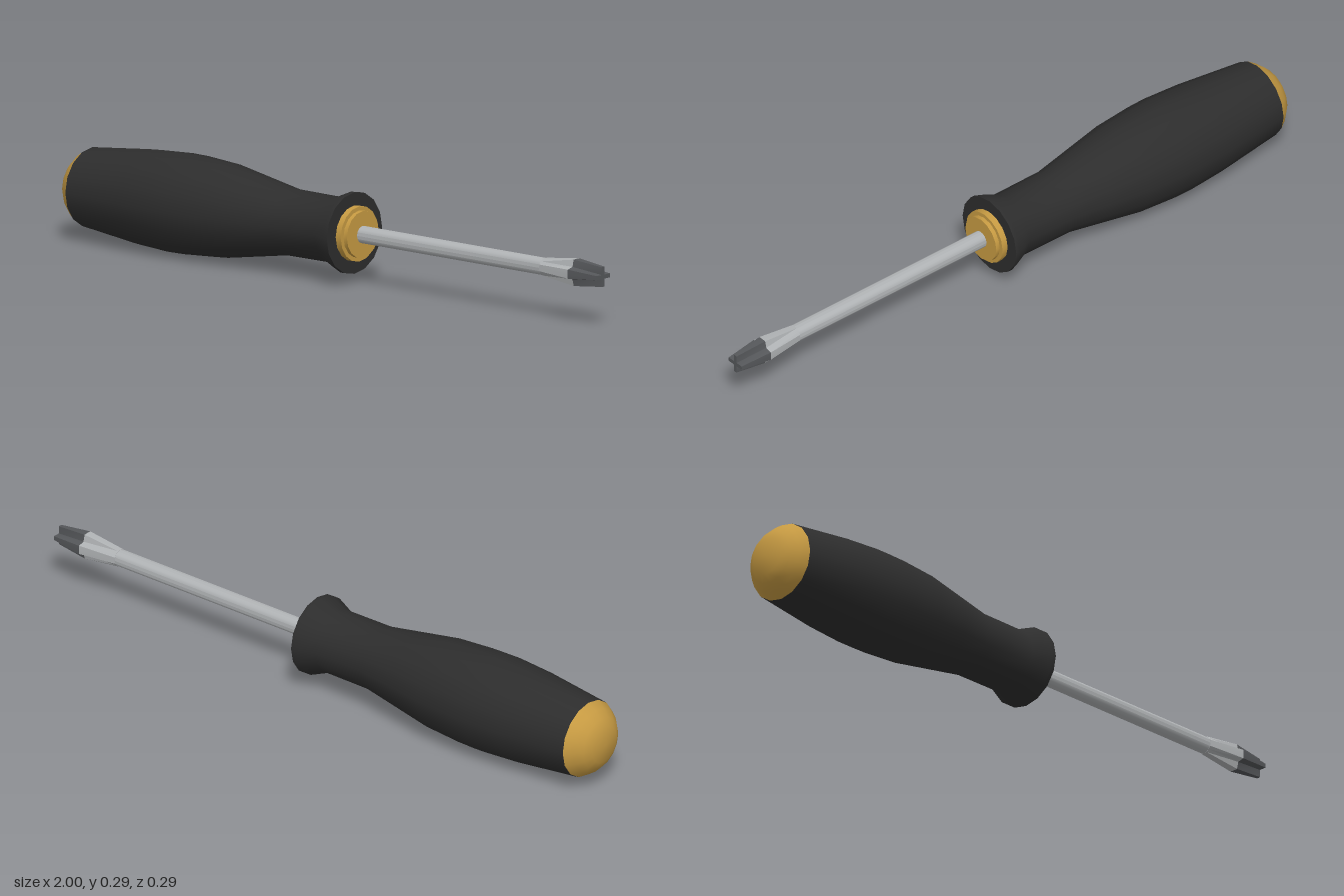
import * as THREE from 'three';
import { toCreasedNormals } from 'three/addons/utils/BufferGeometryUtils.js';

const AXIS_Y = 0.145;

function material(name, color) {
  const m = new THREE.MeshStandardMaterial({ color });
  m.name = name;
  return m;
}

// Turned part along x; profile points are [x, radius] from the butt to the tip
function turned(name, profile, mat, sides = 16) {
  const points = profile.map(([x, r]) => new THREE.Vector2(r, x));
  const geo = new THREE.LatheGeometry(points, sides).rotateZ(-Math.PI / 2);
  const mesh = new THREE.Mesh(toCreasedNormals(geo, 0.6), mat);
  mesh.name = name;
  return mesh;
}

// Cross outline in the y-z plane: arm length r, arm half width w, inner corner q
function crossRing(x, r, w, q) {
  const ring = [];
  for (let k = 0; k < 4; k++) {
    const c = Math.round(Math.cos(k * Math.PI / 2));
    const s = Math.round(Math.sin(k * Math.PI / 2));
    for (const [a, b] of [[r, 0], [r * 0.98, w], [q, q], [w, r * 0.98]]) {
      ring.push([x, a * c - b * s, a * s + b * c]);
    }
  }
  return ring;
}

// Skin between successive rings, optionally closed at the far end
function loft(name, rings, mat, closeEnd) {
  const pos = [];
  const n = rings[0].length;
  for (let i = 0; i < rings.length - 1; i++) {
    for (let j = 0; j < n; j++) {
      const k = (j + 1) % n;
      const [a, b, c, d] = [rings[i][j], rings[i][k], rings[i + 1][j], rings[i + 1][k]];
      pos.push(...a, ...b, ...c, ...b, ...d, ...c);
    }
  }
  if (closeEnd) {
    const end = rings[rings.length - 1];
    for (let j = 0; j < n; j++) pos.push(end[0][0], 0, 0, ...end[j], ...end[(j + 1) % n]);
  }
  const geo = new THREE.BufferGeometry();
  geo.setAttribute('position', new THREE.Float32BufferAttribute(pos, 3));
  geo.computeVertexNormals();
  const mesh = new THREE.Mesh(toCreasedNormals(geo, 0.45), mat);
  mesh.name = name;
  return mesh;
}

export function createModel() {
  const rubber = material('black rubber', 0x2d2d2d);
  const gold = material('golden plastic', 0xc69a42);
  const steel = material('steel', 0xb0b3b5);
  const darkSteel = material('dark steel', 0x55575a);

  const group = new THREE.Group();
  group.name = 'screwdriver';
  const tool = new THREE.Group();
  tool.name = 'tool';
  tool.position.y = AXIS_Y;
  group.add(tool);

  // Handle
  tool.add(turned('endCap', [
    [-1, 0], [-0.993, 0.055], [-0.98, 0.078], [-0.96, 0.098], [-0.935, 0.115],
  ], gold));
  tool.add(turned('grip', [
    [-0.935, 0.115], [-0.72, 0.138], [-0.6, 0.145], [-0.54, 0.144], [-0.42, 0.136],
    [-0.3, 0.116], [-0.18, 0.096], [-0.01, 0.095], [0.045, 0.118], [0.058, 0.118], [0.058, 0],
  ], rubber));
  tool.add(turned('collar', [
    [0.05, 0.08], [0.077, 0.08], [0.077, 0.068], [0.09, 0.068], [0.09, 0],
  ], gold));

  // Shaft, swelling into a fluted cross tip
  tool.add(turned('shaft', [[0.08, 0.025], [0.78, 0.025]], steel));
  const round = crossRing(0.78, 0.025, 0.0096, 0.0177);
  const shoulder = crossRing(0.9, 0.039, 0.013, 0.018);
  const point = crossRing(1, 0.029, 0.006, 0.006);
  tool.add(loft('tipShoulder', [round, shoulder], steel, false));
  tool.add(loft('crossTip', [shoulder, point], darkSteel, true));

  return group;
}
